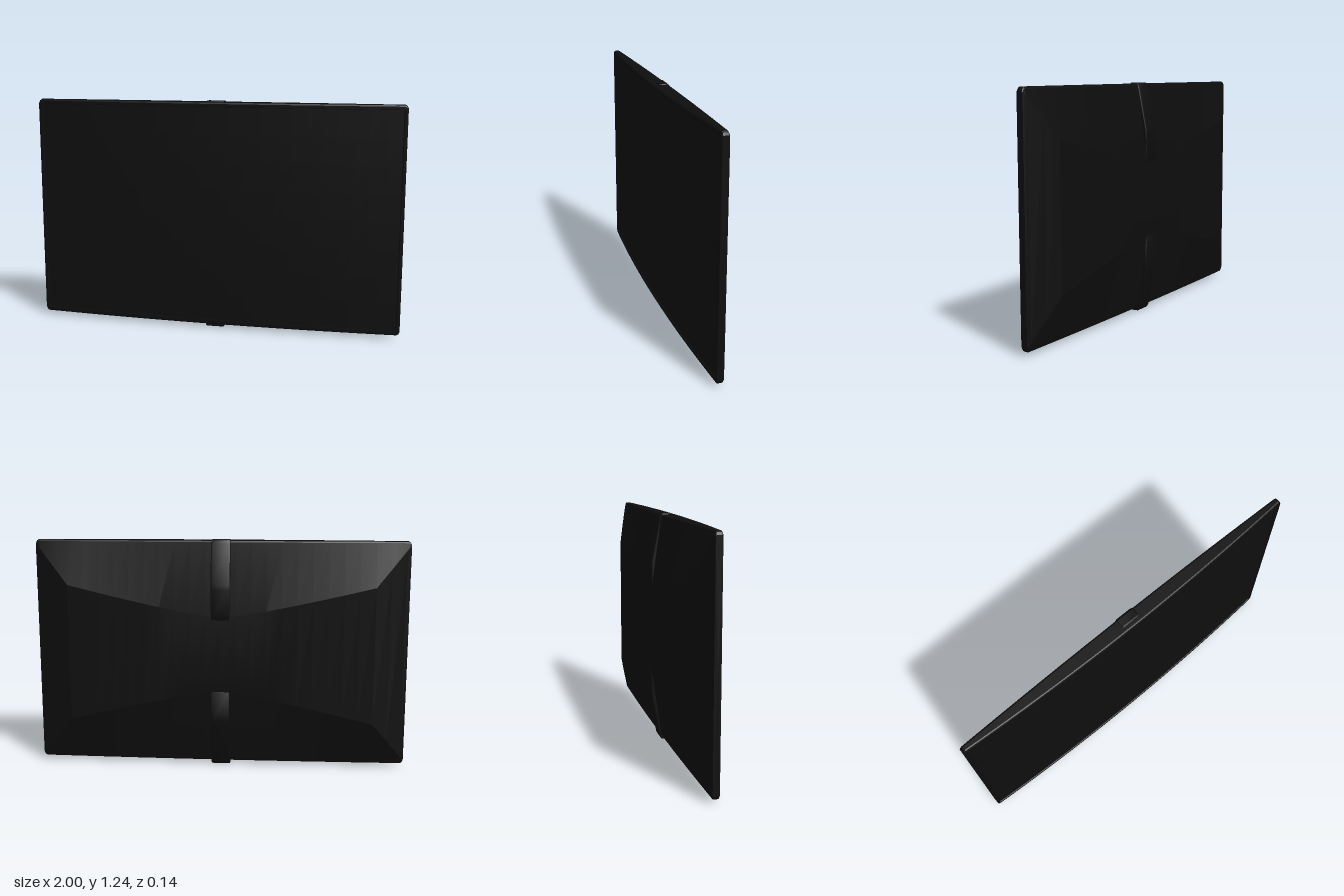
import * as THREE from 'three';
import { toCreasedNormals } from 'three/addons/utils/BufferGeometryUtils.js';

const MID = 0.6275;      // height of the panel's centre line
const HALF = 0.6075;     // half of the panel's height
const frontZ = x => 0.066 - 0.035 * x * x;
const edgeZ = x => -0.016 + 0.013 * x * x;

// Skin a list of cross-sections; closed ones wrap round and get end caps
function loft(sections, closed) {
  const n = sections[0].length, pos = sections.flat(2), idx = [];
  for (let i = 0; i < sections.length - 1; i++) {
    for (let j = 0; j < (closed ? n : n - 1); j++) {
      const k = (j + 1) % n, a = i * n + j, b = a + n, c = (i + 1) * n + k, d = i * n + k;
      idx.push(a, b, c, a, c, d);
    }
  }
  if (closed) {
    [0, sections.length - 1].forEach((s, end) => {
      const z = sections[s].reduce((t, p) => t + p[2], 0) / n;
      const centre = pos.length / 3;
      pos.push(sections[s][0][0], MID, z);
      for (let j = 0; j < n; j++) {
        const a = s * n + j, b = s * n + (j + 1) % n;
        idx.push(centre, end ? b : a, end ? a : b);
      }
    });
  }
  const g = new THREE.BufferGeometry();
  g.setAttribute('position', new THREE.Float32BufferAttribute(pos, 3));
  g.setIndex(idx);
  return toCreasedNormals(g, 0.16);
}

// Casing section: bezel lip, rounded rim, sloped back, raised bow-tie plateau
function casingSection(x) {
  const ax = Math.abs(x), zf = frontZ(x), zb = edgeZ(x);
  const H = HALF - (ax > 0.995 ? 0.018 : ax > 0.99 ? 0.006 : 0);
  const recess = ax > 0.982 ? 0 : 0.009;
  const k = Math.max(0, (ax - 0.82) / 0.18);
  const bow = 0.2 + 0.17 * Math.pow(Math.min(ax / 0.82, 1), 1.2);
  const h = bow + (H - 0.02 - bow) * k;
  const zp = -0.07 + (zb + 0.07) * k;
  const half = [
    [H - 0.026, zf - recess], [H - 0.024, zf], [H - 0.009, zf], [H - 0.002, zf - 0.004],
    [H, zf - 0.01], [H, zb + 0.01], [H - 0.002, zb + 0.004], [H - 0.009, zb], [h, zp],
  ];
  const top = half.map(([y, z]) => [x, MID + y, z]);
  const bottom = half.map(([y, z]) => [x, MID - y, z]).reverse();
  return [...top, ...bottom];
}

export function createModel() {
  const black = new THREE.MeshStandardMaterial({ color: 0x0d0d0d });
  black.name = 'casing black';
  const glass = new THREE.MeshStandardMaterial({ color: 0x0e0e0e });
  glass.name = 'screen black';

  const model = new THREE.Group();
  model.name = 'curvedPanel';
  const add = (name, geometry, material) => {
    const mesh = new THREE.Mesh(geometry, material);
    mesh.name = name;
    model.add(mesh);
    return mesh;
  };

  // Casing
  const xs = [-1, -0.994, -0.985, -0.98, -0.9];
  for (let i = -10; i <= 10; i++) xs.push(i * 0.082);
  xs.push(0.9, 0.98, 0.985, 0.994, 1);
  add('casing', loft(xs.map(casingSection), true), black);

  // Gently bulging screen inside the bezel
  const screen = [];
  for (let i = 0; i <= 24; i++) {
    const x = -0.98 + 1.96 * i / 24, row = [];
    for (let j = 0; j <= 8; j++) {
      const v = -1 + j / 4;
      row.push([x, MID + v * (HALF - 0.026), frontZ(x) - 0.005 + 0.008 * (1 - v * v) * (1 - x * x)]);
    }
    screen.push(row);
  }
  add('screen', loft(screen, false), glass);

  // Central ribs running from the plateau over the upper and lower rims
  const profile = [
    [0.612, 0.04], [0.62, 0.032], [0.62, -0.008], [0.614, -0.016], [0.6, -0.023],
    [0.38, -0.068], [0.36, -0.0705], [0.2, -0.0715], [0.18, -0.06], [0.18, 0.03],
  ];
  for (const s of [1, -1]) {
    const shape = new THREE.Shape(profile.map(([y, z]) => new THREE.Vector2(-z, 0.62 + s * y)));
    const rib = new THREE.ExtrudeGeometry(shape, {
      depth: 0.084, bevelEnabled: true, bevelThickness: 0.01, bevelSize: 0.006,
      bevelOffset: -0.006, bevelSegments: 2,
    });
    rib.translate(0, 0, -0.042).rotateY(Math.PI / 2);
    add(s > 0 ? 'upperRib' : 'lowerRib', toCreasedNormals(rib, 0.6), black);
  }
  return model;
}
